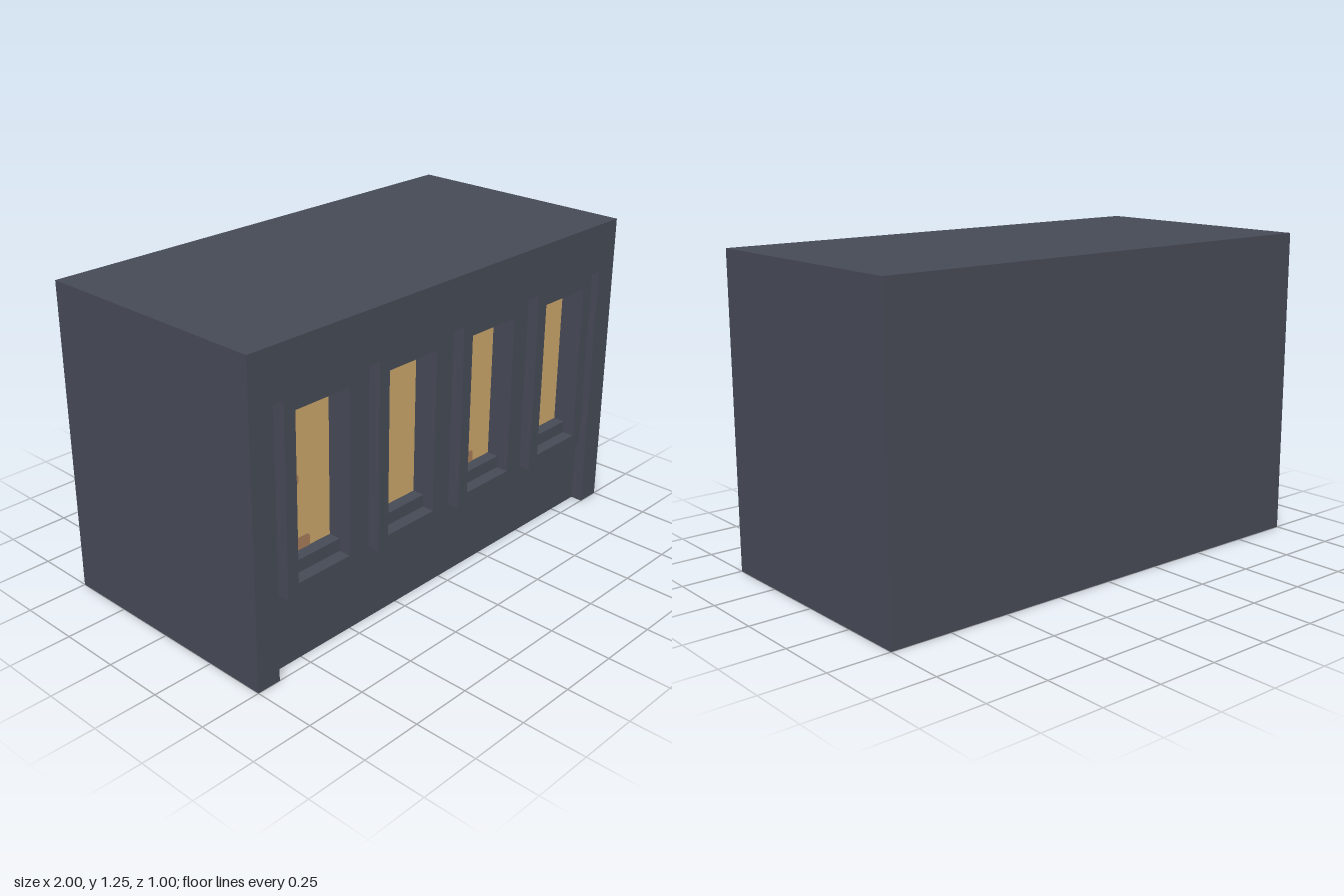
import * as THREE from 'three';

const WINDOWS = [
  { x: -0.8, top: 0.9, bump: 0.7, foot: true },
  { x: -0.35, top: 1, bump: 0.85 },
  { x: 0.1, top: 1, bump: 0.7, foot: true },
  { x: 0.55, top: 1 },
];
const WIDTH = 0.25;

const rect = (x0, y0, x1, y1) => new THREE.Shape(
  [[x0, y0], [x1, y0], [x1, y1], [x0, y1]].map(p => new THREE.Vector2(...p)));

// Closed shape from [x, y, cornerRadius] points
function roundedShape(points) {
  const shape = new THREE.Shape();
  points.forEach(([x, y, r = 0], i) => {
    const c = new THREE.Vector2(x, y);
    const toward = j => {
      const q = points[(j + points.length) % points.length];
      return new THREE.Vector2(q[0], q[1]).sub(c).setLength(r).add(c);
    };
    const a = toward(i - 1), b = toward(i + 1);
    if (i === 0) shape.moveTo(a.x, a.y); else shape.lineTo(a.x, a.y);
    if (r > 0) shape.quadraticCurveTo(x, y, b.x, b.y);
  });
  shape.closePath();
  return shape;
}

// Silhouette of the curtain along the left edge of a window
function curtainShape({ x, top, bump, foot }) {
  const e = x + 0.05, r = 0.02;
  const pts = [[x, 0.4]];
  if (foot) pts.push([x + 0.15, 0.4], [x + 0.15, 0.45, r], [e, 0.45, r]);
  else pts.push([e, 0.4]);
  if (bump) pts.push([e, bump - 0.055, r], [x + 0.1, bump - 0.045, r], [x + 0.1, bump, r], [e, bump, r]);
  if (top < 1) pts.push([e, top, r], [x, top]);
  else if (bump) pts.push([e, 0.95, 0], [e + 0.02, 0.95], [e + 0.02, 1], [x, 1]);
  else pts.push([e, 1], [x, 1]);
  return roundedShape(pts);
}

export function createModel() {
  const wall = new THREE.MeshStandardMaterial({ name: 'slate wall', color: 0x464a56 });
  const glass = new THREE.MeshStandardMaterial({ name: 'amber glass', color: 0xcaa66a });
  const shade = new THREE.MeshStandardMaterial({ name: 'brown shade', color: 0xa67c5a });

  const model = new THREE.Group();
  model.name = 'building';
  const add = (name, geometry, material, z, parent = model) => {
    const mesh = new THREE.Mesh(geometry, material);
    mesh.name = name;
    mesh.position.z = z;
    parent.add(mesh);
    return mesh;
  };
  const layer = shape => new THREE.ExtrudeGeometry(shape, { depth: 0.05, bevelEnabled: false });

  // Solid block behind the facade
  add('mainBlock', new THREE.BoxGeometry(2, 1.25, 0.9).translate(0, 0.625, 0), wall, -0.05);

  // Recessed wall with the window openings
  const inner = rect(-1, 0, 1, 1.25);
  WINDOWS.forEach(w => inner.holes.push(rect(w.x, 0.4, w.x + WIDTH, 1)));
  add('recessedWall', layer(inner), wall, 0.4);

  // Raised corner posts, top band and window surrounds
  const outline = [[-1, 0], [-0.9, 0], [-0.9, 1.05]];
  WINDOWS.forEach(({ x }) => {
    const l = x - 0.05, r = x + WIDTH + 0.05;
    outline.push([l, 1.05], [l, 0.3], [r, 0.3], [r, 1.05]);
  });
  outline.push([0.9, 1.05], [0.9, 0], [1, 0], [1, 1.25], [-1, 1.25]);
  const outer = new THREE.Shape(outline.map(p => new THREE.Vector2(...p)));
  WINDOWS.forEach(w => outer.holes.push(rect(w.x, 0.35, w.x + WIDTH, 1)));
  add('raisedFacade', layer(outer), wall, 0.45);

  // Lit panes with painted top shade and curtain
  WINDOWS.forEach((w, i) => {
    const group = new THREE.Group();
    group.name = `window${i + 1}`;
    model.add(group);
    const flat = shape => new THREE.ShapeGeometry(shape, 6);
    add('pane', flat(rect(w.x, 0.4, w.x + WIDTH, 1)), glass, 0.401, group);
    add('topShade', flat(rect(w.x, 0.95, w.x + WIDTH, 1)), shade, 0.404, group);
    add('curtain', flat(curtainShape(w)), shade, 0.403, group);
  });
  return model;
}
